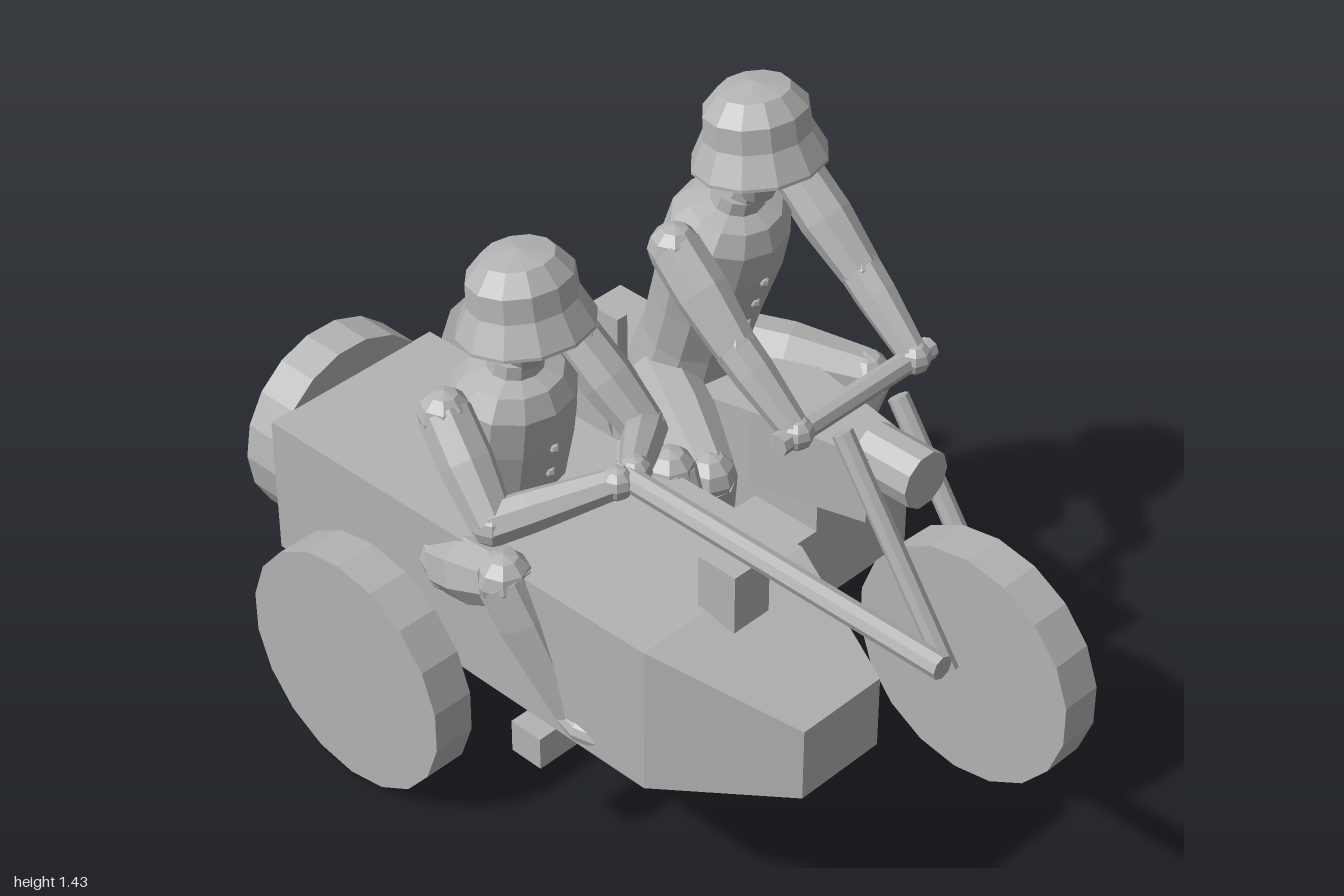
import * as THREE from 'three';

const paint = new THREE.MeshStandardMaterial({ color: 0xb3b3b3, flatShading: true });
paint.name = 'plain grey';
const V = (x, y, z) => new THREE.Vector3(x, y, z);

function add(parent, name, geometry, x = 0, y = 0, z = 0) {
  const m = new THREE.Mesh(geometry, paint);
  m.name = name;
  m.position.set(x, y, z);
  parent.add(m);
  return m;
}

// Box given by its limits on each axis
function box(parent, name, x0, x1, y0, y1, z0, z1) {
  return add(parent, name, new THREE.BoxGeometry(x1 - x0, y1 - y0, z1 - z0),
    (x0 + x1) / 2, (y0 + y1) / 2, (z0 + z1) / 2);
}

// Tapered rod between two points
function rod(parent, name, a, b, ra, rb = ra, sides = 8) {
  const d = b.clone().sub(a);
  const m = add(parent, name, new THREE.CylinderGeometry(rb, ra, d.length(), sides));
  m.position.copy(a).add(b).multiplyScalar(0.5);
  m.quaternion.setFromUnitVectors(V(0, 1, 0), d.normalize());
  return m;
}

function ball(parent, name, p, r, w = 8, h = 6) {
  return add(parent, name, new THREE.SphereGeometry(r, w, h), p.x, p.y, p.z);
}

function lathe(parent, name, points, sides = 12) {
  return add(parent, name, new THREE.LatheGeometry(points.map(p => new THREE.Vector2(...p)), sides));
}

// Closed hull through rectangular sections [x, y0, y1, z0, z1]
function hull(parent, name, sections) {
  const rings = sections.map(([x, y0, y1, z0, z1]) =>
    [V(x, y0, z0), V(x, y1, z0), V(x, y1, z1), V(x, y0, z1)]);
  const pts = [];
  const quad = (a, b, c, d) => pts.push(a, b, c, a, c, d);
  for (let i = 0; i < rings.length - 1; i++) {
    for (let k = 0; k < 4; k++) {
      const n = (k + 1) % 4;
      quad(rings[i][k], rings[i][n], rings[i + 1][n], rings[i + 1][k]);
    }
  }
  const f = rings[0], l = rings[rings.length - 1];
  quad(f[0], f[3], f[2], f[1]);
  quad(l[0], l[1], l[2], l[3]);
  const g = new THREE.BufferGeometry().setFromPoints(pts);
  g.computeVertexNormals();
  return add(parent, name, g);
}

// Jointed limb: upper and lower part with rounded ends
function limb(parent, name, a, b, c, r) {
  const g = new THREE.Group();
  g.name = name;
  const mid = a.clone().lerp(b, 0.45), low = b.clone().lerp(c, 0.3);
  rod(g, 'upperStart', a, mid, r[0], r[1]);
  rod(g, 'upperEnd', mid, b, r[1], r[2]);
  rod(g, 'lowerStart', b, low, r[2], r[3]);
  rod(g, 'lowerEnd', low, c, r[3], r[4]);
  ball(g, 'topJoint', a, r[0]);
  ball(g, 'middleJoint', b, r[2]);
  parent.add(g);
}

// Seated figure; points are [x, y] or [x, y, sideways offset]
function figure(name, z, p) {
  const g = new THREE.Group();
  g.name = name;
  g.position.z = z;
  const [bx, by] = p.base, [tx, ty] = p.collar;

  // Torso, collar and buttons lean with the back
  const torso = new THREE.Group();
  torso.name = 'torso';
  torso.position.set(bx, by, 0);
  torso.rotation.z = -Math.atan2(tx - bx, ty - by);
  g.add(torso);
  lathe(torso, 'jacket', [[0, 0], [0.14, 0], [0.13, 0.13], [0.135, 0.24], [0.147, 0.38],
    [0.142, 0.47], [0.11, 0.515], [0.065, 0.53], [0.06, 0.56], [0, 0.56]]).scale.x = 0.88;
  [0.24, 0.31, 0.38].forEach((y, i) => ball(torso, 'button', V(0.117 + i * 0.005, y, 0), 0.013, 6, 4));

  // Head and helmet
  const [hx, hy] = p.head;
  rod(g, 'neck', V(tx, ty - 0.03, 0), V(hx - 0.01, hy + 0.05, 0), 0.045, 0.04);
  const head = new THREE.Group();
  head.name = 'head';
  head.position.set(hx, hy, 0);
  g.add(head);
  lathe(head, 'face', [[0, 0], [0.035, 0.005], [0.055, 0.05], [0.066, 0.11], [0.066, 0.2], [0, 0.2]], 10);
  ball(head, 'nose', V(0.072, 0.105, 0), 0.016, 6, 4);
  box(head, 'mouth', 0.05, 0.068, 0.058, 0.07, -0.025, 0.025);
  const helmet = lathe(head, 'helmet', [[0, 0.16], [0.1, 0.16], [0.152, 0.095], [0.152, 0.102],
    [0.121, 0.165], [0.117, 0.22], [0.08, 0.262], [0, 0.277]]);
  helmet.rotation.z = 0.12;
  helmet.position.x = 0.018;
  helmet.scale.x = 0.94;

  for (const s of [-1, 1]) {
    const at = ([x, y, w]) => V(x, y, s * w);
    const [shoulder, elbow, hand] = p.arm.map(at);
    limb(g, 'arm', shoulder, elbow, hand, [0.058, 0.06, 0.048, 0.046, 0.033]);
    ball(g, 'hand', hand, 0.038);
    const [hip, knee, ankle] = p.leg.map(at);
    limb(g, 'leg', hip, knee, ankle, [0.075, 0.08, 0.062, 0.06, 0.035]);
    const boot = ball(g, 'boot', ankle.clone().add(V(0.045, -0.01, 0)), 0.04);
    boot.scale.set(1.9, 0.85, 1.1);
  }
  return g;
}

export function createModel() {
  const model = new THREE.Group();
  model.name = 'motorcycleWithSidecar';
  const Z = -0.33;

  // Wheels
  const wheel = (name, x, z) => {
    add(model, name, new THREE.CylinderGeometry(0.288, 0.288, 0.1, 18), x, 0.288, z).rotation.x = Math.PI / 2;
  };
  wheel('rearWheel', -0.713, Z);
  wheel('frontWheel', 0.613, Z);
  wheel('sidecarWheel', -0.312, 0.595);
  rod(model, 'spareWheel', V(-0.77, 0.535, 0.27), V(-0.668, 0.535, 0.27), 0.23, 0.23, 18);

  // Sidecar body
  hull(model, 'sidecarBody', [[-0.67, 0.345, 0.685, 0.045, 0.505],
    [0.44, 0.345, 0.705, 0.045, 0.505], [0.76, 0.445, 0.62, 0.163, 0.385]]);
  box(model, 'gunMount', 0.415, 0.515, 0.69, 0.83, 0.225, 0.325);
  rod(model, 'gunBarrel', V(0.14, 0.86, 0.27), V(1, 0.86, 0.27), 0.026);

  // Chassis
  box(model, 'rearCrossbar', -0.355, -0.27, 0.26, 0.34, -0.27, 0.547);
  box(model, 'frontCrossbar', 0.098, 0.182, 0.26, 0.34, -0.27, 0.547);
  box(model, 'frame', -0.4, 0.22, 0.3, 0.56, -0.41, -0.25);
  box(model, 'frontEngineBlock', 0.04, 0.22, 0.245, 0.45, -0.55, -0.11);
  box(model, 'rearSideBoxes', -0.2, -0.075, 0.245, 0.45, -0.55, -0.11);
  box(model, 'rearSeat', -0.54, -0.3, 0.52, 0.64, -0.42, -0.25);
  hull(model, 'fuelTank', [[-0.25, 0.5, 0.62, Z - 0.09, Z + 0.09],
    [0.05, 0.5, 0.7, Z - 0.11, Z + 0.11], [0.34, 0.53, 0.7, Z - 0.06, Z + 0.06]]);

  // Swing arms and front fork
  for (const s of [-1, 1]) {
    const z = Z + s * 0.088;
    box(model, 'swingArm', -0.745, -0.15, 0.255, 0.335, z - 0.022, z + 0.022);
    rod(model, 'forkLeg', V(0.29, 0.76, z), V(0.61, 0.295, z), 0.024);
  }
  rod(model, 'handlebar', V(0.245, 0.785, -0.57), V(0.245, 0.785, -0.09), 0.026);
  rod(model, 'headlight', V(0.3, 0.67, Z), V(0.45, 0.67, Z), 0.068, 0.068, 10);

  // Rider with belt gear
  const rider = figure('rider', Z, {
    base: [-0.25, 0.62], collar: [-0.09, 1.16], head: [-0.045, 1.155],
    arm: [[-0.1, 1.09, 0.19], [0.08, 0.93, 0.195], [0.25, 0.79, 0.185]],
    leg: [[-0.22, 0.64, 0.1], [0.06, 0.61, 0.25], [-0.02, 0.265, 0.175]],
  });
  rod(rider, 'canister', V(-0.31, 0.6, -0.165), V(-0.33, 0.78, -0.165), 0.036);
  box(rider, 'beltPouch', -0.385, -0.3, 0.64, 0.79, 0.13, 0.16);
  model.add(rider);

  // Passenger
  model.add(figure('passenger', 0.27, {
    base: [-0.22, 0.46], collar: [-0.15, 1.015], head: [-0.125, 1.0],
    arm: [[-0.17, 0.945, 0.185], [0, 0.775, 0.22], [0.16, 0.858, 0.025]],
    leg: [[-0.15, 0.58, 0.19], [0.05, 0.675, 0.24], [0.2, 0.385, 0.205]],
  }));

  return model;
}
